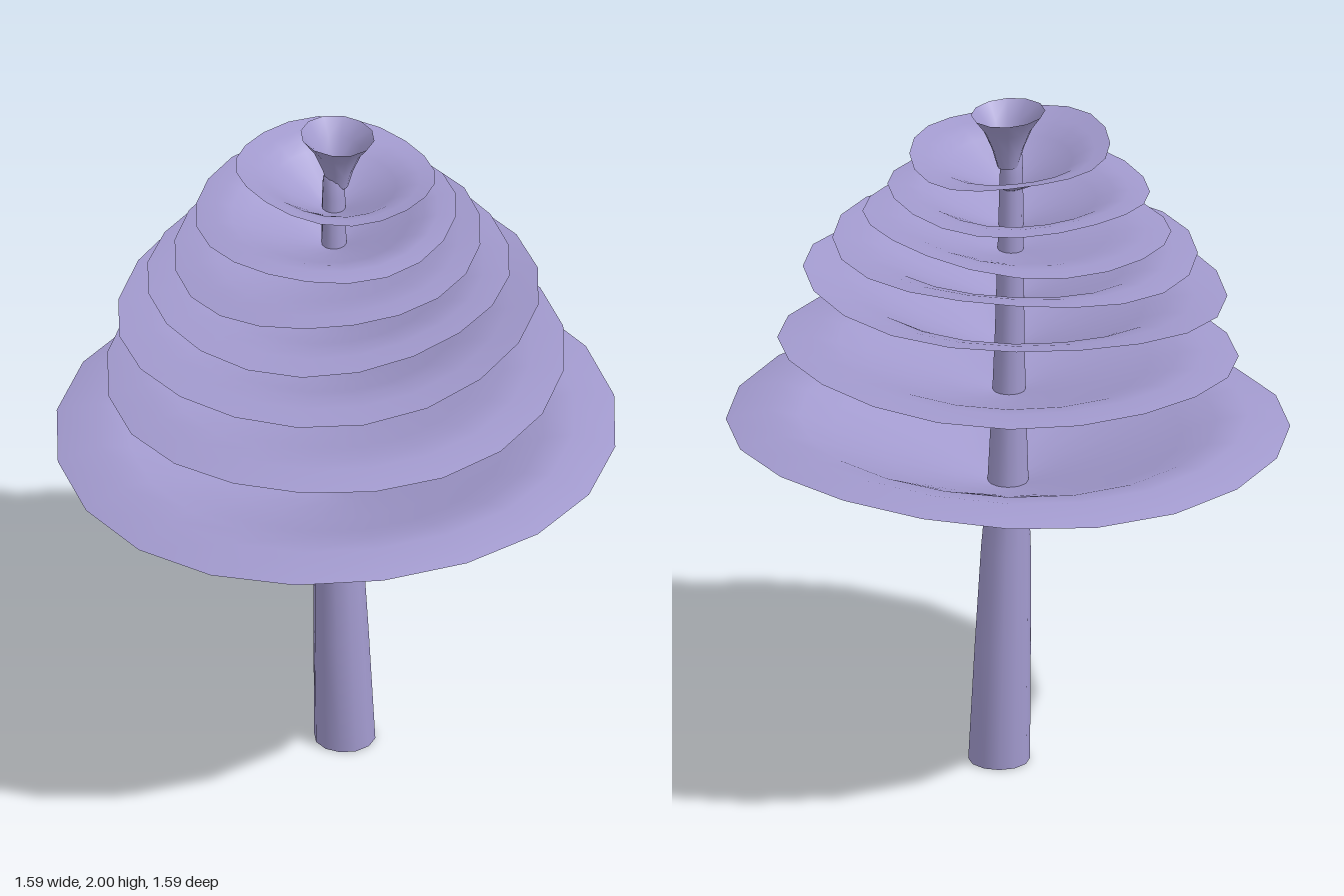
import * as THREE from 'three';
import { mergeVertices } from 'three/addons/utils/BufferGeometryUtils.js';

const material = new THREE.MeshStandardMaterial({ color: 0xa29ace, side: THREE.DoubleSide });

// Lathe a profile of [radius, y], then move every vertex by a rule and smooth the seam
function bentLathe(name, profile, sides, rule) {
  let geo = new THREE.LatheGeometry(profile.map(([r, y]) => new THREE.Vector2(r, y)), sides);
  geo.deleteAttribute('uv');
  geo.deleteAttribute('normal');
  const pos = geo.attributes.position;
  const v = new THREE.Vector3();
  for (let i = 0; i < pos.count; i++) {
    rule(v.fromBufferAttribute(pos, i));
    pos.setXYZ(i, v.x, v.y, v.z);
  }
  geo = mergeVertices(geo, 1e-5);
  geo.computeVertexNormals();
  const mesh = new THREE.Mesh(geo, material);
  mesh.name = name;
  return mesh;
}

// Centre line of the slightly leaning trunk
function axis(y) {
  const low = Math.max(0, 1 - y / 0.85);
  const high = Math.max(0, y - 0.85);
  return [0.025 * low - 0.01 * high, -0.02 * high];
}

// Tiers: tip height, radius, crest rise, lip rise, centre x/z, tilt towards +x/+z, wave phase
const tiers = [
  { y: 0.845, r: 0.795, crest: 0.215, lip: 0.185, cx: 0, cz: 0, tx: 0.022, tz: -0.02, phase: 0.4 },
  { y: 1.13, r: 0.65, crest: 0.14, lip: 0.13, cx: 0, cz: 0.005, tx: 0.027, tz: -0.036, phase: 2.0 },
  { y: 1.26, r: 0.598, crest: 0.192, lip: 0.2, cx: -0.02, cz: 0.01, tx: 0.038, tz: -0.036, phase: 3.5 },
  { y: 1.41, r: 0.515, crest: 0.16, lip: 0.16, cx: -0.02, cz: 0.01, tx: 0.028, tz: -0.025, phase: 5.0 },
  { y: 1.565, r: 0.435, crest: 0.085, lip: 0.085, cx: -0.025, cz: -0.005, tx: 0.036, tz: -0.022, phase: 1.2 },
  { y: 1.635, r: 0.37, crest: 0.122, lip: 0.12, cx: -0.03, cz: -0.01, tx: 0.005, tz: -0.01, phase: 2.6 },
  { y: 1.75, r: 0.283, crest: 0.12, lip: 0.13, cx: -0.005, cz: -0.02, tx: -0.02, tz: 0.012, phase: 4.2 },
];

// Shallow bowl of foliage with a tilted, wavy rim
function makeTier(t, i) {
  const profile = [[0.035, 0], [0.2, 0.2], [0.45, 0.52], [0.62, 0.76], [0.74, 0.93], [0.85, 1]]
    .map(([r, h]) => [r * t.r, h * t.crest]);
  profile.push([t.r, t.lip]);
  const [ax, az] = axis(t.y);
  return bentLathe('foliageTier' + (i + 1), profile, 20, v => {
    const s = Math.hypot(v.x, v.z) / t.r;
    const wave = Math.sin(3 * Math.atan2(v.x, v.z) + t.phase);
    v.y += t.y + s * (t.tx * v.x + t.tz * v.z) / t.r + 0.01 * s ** 3 * wave;
    v.x += ax + (t.cx - ax) * s;
    v.z += az + (t.cz - az) * s;
  });
}

export function createModel() {
  const group = new THREE.Group();
  group.name = 'layeredTree';

  // Open, tapering trunk with a rounded tip
  const trunkProfile = [[0.087, 0], [0.079, 0.35], [0.07, 0.65], [0.058, 0.85], [0.048, 1.1],
    [0.042, 1.3], [0.037, 1.55], [0.033, 1.8], [0.03, 1.86], [0.018, 1.88], [0, 1.885]];
  group.add(bentLathe('trunk', trunkProfile, 12, v => {
    const [ax, az] = axis(v.y);
    v.x += ax;
    v.z += az;
  }));

  tiers.forEach((t, i) => group.add(makeTier(t, i)));

  // Small flared cup at the very top
  const cupProfile = [[0.03, 1.83], [0.045, 1.885], [0.07, 1.945], [0.105, 1.993]];
  group.add(bentLathe('topCup', cupProfile, 12, v => {
    v.y -= 0.07 * v.x;
    v.z -= 0.03;
  }));

  return group;
}
